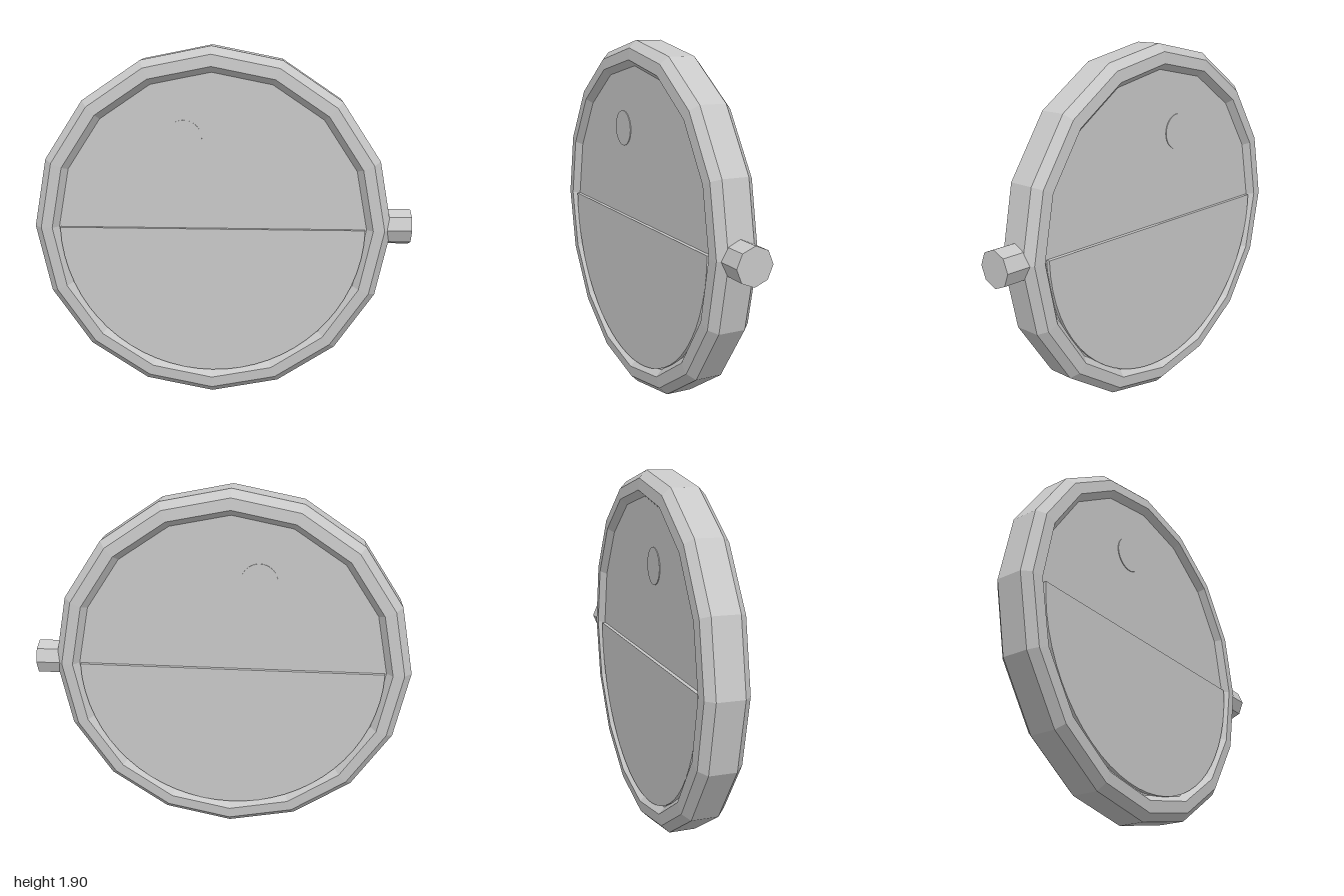
import * as THREE from 'three';

export function createModel() {
  const model = new THREE.Group();
  const grey = new THREE.MeshStandardMaterial({ color: 0xc8c8c8 });
  grey.name = 'plain grey';
  grey.flatShading = true;

  const CX = -0.055, CY = 0.95;
  const add = (name, geometry, x = CX, y = CY) => {
    const mesh = new THREE.Mesh(geometry, grey);
    mesh.name = name;
    mesh.position.set(x, y, 0);
    model.add(mesh);
  };
  // Disc whose flat faces point to the front and back
  const disc = (radius, halfDepth, sides) =>
    new THREE.CylinderGeometry(radius, radius, halfDepth * 2, sides).rotateX(Math.PI / 2);

  // Sixteen-sided frame with bevelled section: [radius, depth], closed loop
  const section = [
    [0.95, -0.07], [0.95, 0.07], [0.91, 0.11], [0.85, 0.115],
    [0.81, 0.07], [0.81, -0.07], [0.85, -0.115], [0.91, -0.11], [0.95, -0.07],
  ].map(([r, d]) => new THREE.Vector2(r, d));
  add('frame', new THREE.LatheGeometry(section, 16).rotateX(Math.PI / 2));

  // Inner panel filling the frame
  add('panel', disc(0.825, 0.08, 16));

  // Raised lower half
  const half = new THREE.Shape();
  half.absarc(0, 0, 0.81, Math.PI, Math.PI * 2, false);
  half.closePath();
  const lower = new THREE.ExtrudeGeometry(half, { depth: 0.2, bevelEnabled: false, curveSegments: 16 });
  add('lowerHalf', lower.translate(0, 0, -0.1));

  // Round spot, showing on both sides
  add('spot', disc(0.095, 0.084, 32), -0.2, 1.43);

  // Octagonal stem on the side
  add('stem', new THREE.CylinderGeometry(0.095, 0.095, 0.16, 8).rotateZ(Math.PI / 2), 0.92, CY);

  return model;
}
